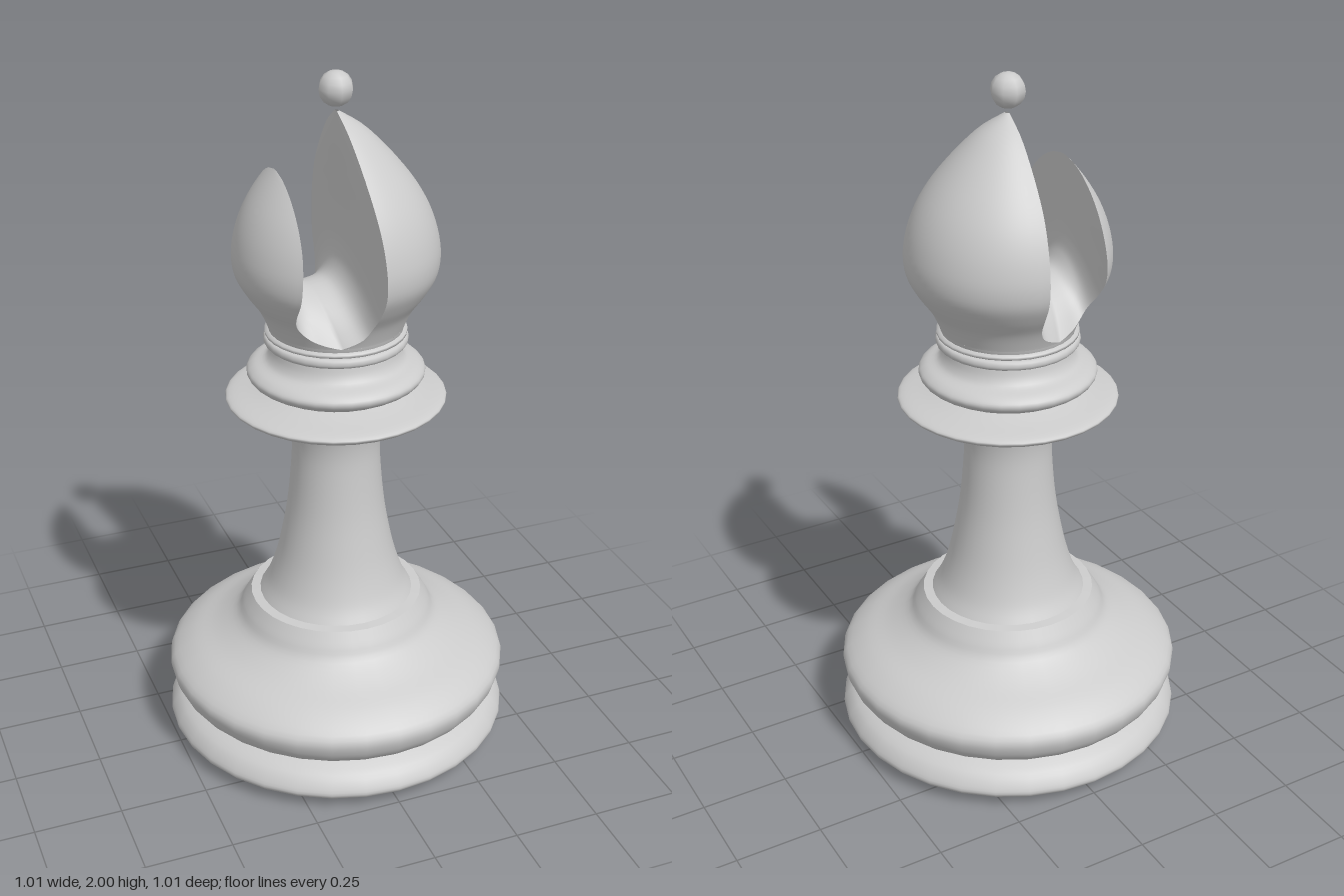
import * as THREE from 'three';

const SIDES = 32;
const material = new THREE.MeshStandardMaterial({ color: 0xcccccc, side: THREE.DoubleSide });
const vectors = (pts) => pts.map(([x, y]) => new THREE.Vector2(x, y));
const spline = (pts) => new THREE.SplineCurve(vectors(pts));

// Grid of points fn(u, v); faces look along dv x du
function grid(nu, nv, fn) {
  const positions = [], index = [];
  for (let i = 0; i <= nu; i++) {
    for (let j = 0; j <= nv; j++) {
      positions.push(...fn(i / nu, j / nv));
      if (i < nu && j < nv) {
        const a = i * (nv + 1) + j, b = a + nv + 1;
        index.push(a, a + 1, b + 1, a, b + 1, b);
      }
    }
  }
  const geometry = new THREE.BufferGeometry();
  geometry.setAttribute('position', new THREE.Float32BufferAttribute(positions, 3));
  geometry.setIndex(index);
  geometry.computeVertexNormals();
  return geometry;
}

// Head outline and its radius at a given height
const headProfile = spline([
  [0.185, 1.275], [0.192, 1.3], [0.215, 1.35], [0.25, 1.4], [0.277, 1.45], [0.284, 1.5],
  [0.278, 1.55], [0.264, 1.6], [0.242, 1.65], [0.211, 1.7], [0.172, 1.75], [0.127, 1.8],
  [0.074, 1.85], [0.008, 1.893],
]).getPoints(160);

function headRadius(y) {
  let i = 1;
  while (i < headProfile.length - 1 && headProfile[i].y < y) i++;
  const a = headProfile[i - 1], b = headProfile[i];
  return THREE.MathUtils.lerp(a.x, b.x, THREE.MathUtils.clamp((y - a.y) / (b.y - a.y), 0, 1));
}

// Slot outline on the head's surface (edge) and at its middle plane (mid), from the bottom up
const slot = {
  left: {
    edge: spline([[0.035, 1.294], [0.08, 1.315], [0.118, 1.35], [0.134, 1.4],
      [0.134, 1.48], [0.13, 1.58], [0.128, 1.66], [0.128, 1.75]]),
  },
};
slot.big = {
  edge: spline([[-0.055, 1.294], [0, 1.32], [0.022, 1.36], [0.033, 1.42], [0.035, 1.5],
    [0.03, 1.6], [0.02, 1.7], [0.01, 1.8], [0, 1.893]]),
  mid: spline([[-0.085, 1.424], [-0.03, 1.432], [0, 1.47], [0.01, 1.53], [0.009, 1.6],
    [0.006, 1.68], [0.003, 1.75], [0, 1.82], [0, 1.893]]),
};
slot.small = {
  edge: spline([[-0.055, 1.294], [-0.12, 1.315], [-0.16, 1.35], [-0.178, 1.4],
    [-0.178, 1.48], [-0.172, 1.58], [-0.17, 1.66], [-0.17, 1.752]]),
  mid: spline([[-0.085, 1.424], [-0.135, 1.438], [-0.16, 1.475], [-0.168, 1.52],
    [-0.17, 1.58], [-0.17, 1.64], [-0.17, 1.7], [-0.17, 1.752]]),
};
delete slot.left;

// Outer skin of the head on one side of the slot (side is +1 or -1 along x)
function lobe(edge, side) {
  return grid(48, 32, (u, v) => {
    const p = edge.getPoint(u), r = headRadius(p.y);
    const half = Math.acos(THREE.MathUtils.clamp((side * p.x) / r, -1, 1));
    const a = (side > 0 ? 0 : Math.PI) + (2 * v - 1) * half;
    return [r * Math.cos(a), p.y, -r * Math.sin(a)];
  });
}

// Walls and saddle-shaped floor of the slot
function slotSurface() {
  return grid(96, 16, (u, v) => {
    const { edge, mid } = u < 0.5 ? slot.small : slot.big;
    const t = Math.abs(2 * u - 1), s = 2 * v - 1;
    const e = edge.getPoint(t), m = mid.getPoint(t), r = headRadius(e.y);
    const p = m.lerp(e, s * s);
    return [p.x, p.y, s * Math.sqrt(Math.max(0, r * r - e.x * e.x))];
  });
}

export function createModel() {
  const group = new THREE.Group();
  const add = (name, geometry) => {
    const mesh = new THREE.Mesh(geometry, material);
    mesh.name = name;
    group.add(mesh);
    return mesh;
  };
  const turned = (name, points) => add(name, new THREE.LatheGeometry(points, SIDES));

  // Foot: flat underside, lower rim, groove and flared upper rim
  turned('underside', vectors([[0, 0], [0.43, 0]]));
  turned('lowerRim', spline([[0.43, 0], [0.475, 0.022], [0.503, 0.045], [0.5, 0.068],
    [0.475, 0.1], [0.43, 0.125]]).getPoints(15));
  turned('upperRim', spline([[0.43, 0.125], [0.465, 0.145], [0.493, 0.185], [0.497, 0.235],
    [0.44, 0.282], [0.36, 0.32], [0.3, 0.36], [0.275, 0.4], [0.252, 0.437]]).getPoints(32));
  turned('footLedge', vectors([[0.252, 0.437], [0.225, 0.44]]));

  // Stem
  turned('stem', spline([[0.225, 0.44], [0.2, 0.485], [0.175, 0.56], [0.155, 0.65], [0.14, 0.74],
    [0.13, 0.84], [0.126, 0.92], [0.132, 0.98], [0.145, 1.015]]).getPoints(32));

  // Collars
  turned('wideCollar', spline([[0.145, 1.015], [0.2, 1.027], [0.27, 1.05], [0.309, 1.073],
    [0.3, 1.087], [0.24, 1.1], [0.195, 1.112]]).getPoints(24));
  turned('middleCollar', spline([[0.195, 1.112], [0.215, 1.122], [0.243, 1.14], [0.25, 1.16],
    [0.232, 1.177], [0.2, 1.19], [0.185, 1.21], [0.178, 1.235]]).getPoints(28));
  turned('thinCollar', spline([[0.178, 1.235], [0.197, 1.242], [0.202, 1.253],
    [0.197, 1.265], [0.18, 1.268]]).getPoints(12));
  turned('neckRing', vectors([[0.18, 1.268], [0.198, 1.272], [0.198, 1.28], [0.188, 1.284]]));

  // Head with its slot
  turned('headBase', vectors([[0.18, 1.268], [headRadius(1.28), 1.28], [headRadius(1.294), 1.294]]));
  add('headLargeLobe', lobe(slot.big.edge, 1));
  add('headSmallLobe', lobe(slot.small.edge, -1));
  add('headSlot', slotSurface());

  // Finial ball
  add('finial', new THREE.SphereGeometry(0.048, 8, 8)).position.y = 1.952;

  return group;
}
